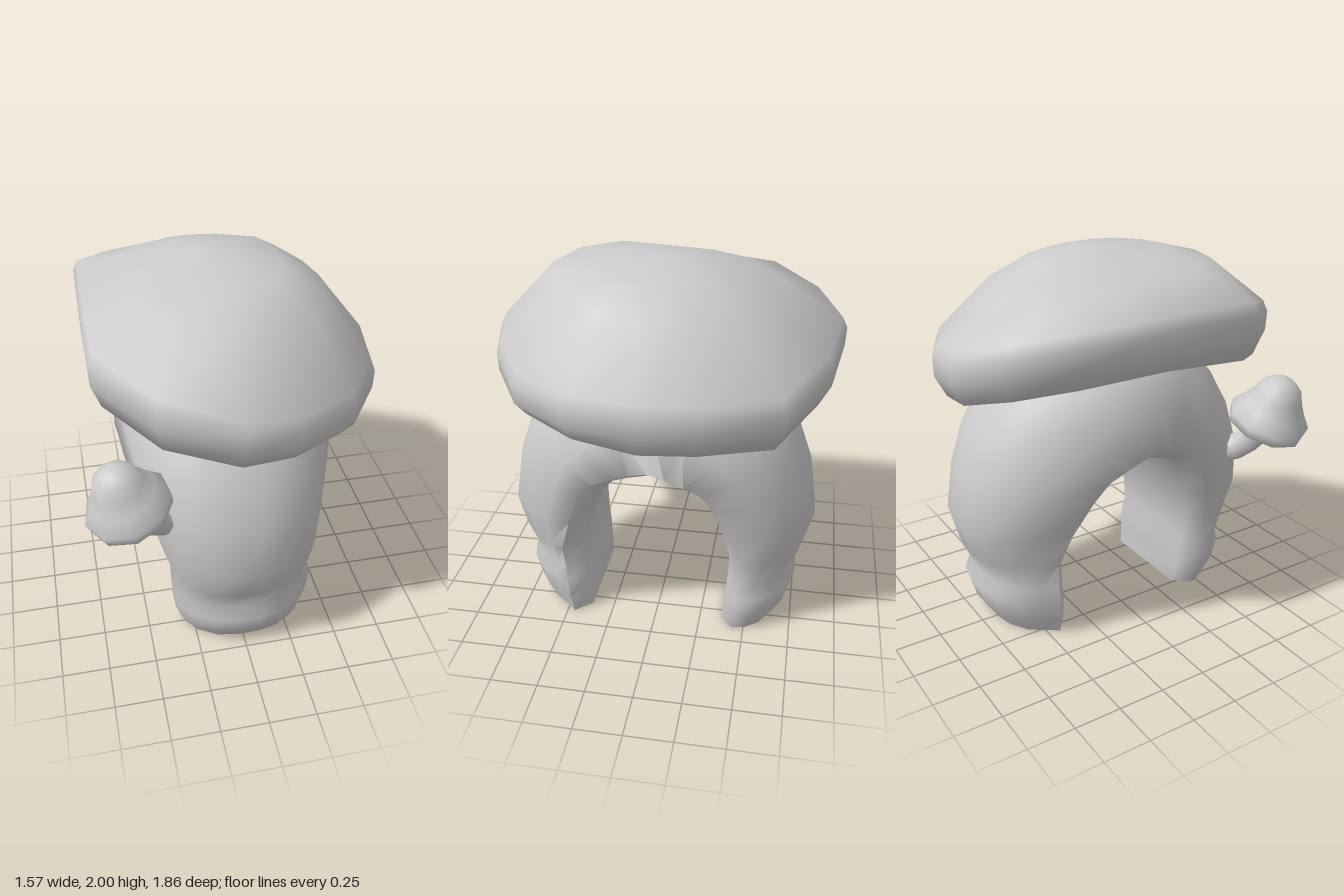
import * as THREE from 'three';
import { toCreasedNormals } from 'three/addons/utils/BufferGeometryUtils.js';

const material = new THREE.MeshStandardMaterial({ color: 0xcccccc, side: THREE.DoubleSide });

// Skin a list of closed rings (arrays of [x, y, z]), leaving both ends open.
function loft(rings) {
  const n = rings[0].length;
  const index = [];
  for (let j = 0; j < rings.length - 1; j++) {
    for (let i = 0; i < n; i++) {
      const a = j * n + i, b = j * n + (i + 1) % n;
      index.push(a, b, b + n, a, b + n, a + n);
    }
  }
  const geometry = new THREE.BufferGeometry();
  geometry.setAttribute('position', new THREE.Float32BufferAttribute(rings.flat(2), 3));
  geometry.setIndex(index);
  return toCreasedNormals(geometry, 1.4);
}

function addMesh(parent, name, geometry) {
  const mesh = new THREE.Mesh(geometry, material);
  mesh.name = name;
  parent.add(mesh);
  return mesh;
}

// Arched trunk: hollow D-shaped sections swept up one leg, over and down the other.
function archGeometry() {
  // inner z, inner y, outer z, outer y, right edge x, left edge x
  const leg = [
    [0.37, 0, 0.66, 0, -0.31, 0.39],
    [0.38, 0.1, 0.725, 0.1, -0.345, 0.41],
    [0.39, 0.22, 0.76, 0.22, -0.36, 0.42],
    [0.40, 0.31, 0.72, 0.29, -0.365, 0.40],
    [0.405, 0.45, 0.79, 0.44, -0.37, 0.43],
    [0.35, 0.65, 0.84, 0.62, -0.43, 0.47],
    [0.27, 0.83, 0.80, 0.88, -0.50, 0.51],
    [0.20, 0.915, 0.72, 1.1, -0.53, 0.54],
    [0.13, 0.94, 0.58, 1.33, -0.55, 0.56],
    [0.06, 0.96, 0.3, 1.56, -0.56, 0.57],
  ];
  const crown = [0, 0.975, 0, 1.65, -0.57, 0.57];
  const mirrored = leg.map(([iz, iy, oz, oy, l, r]) => [-iz, iy, -oz, oy, l, r]).reverse();
  const flip = (list) => list.map(([u, v]) => [-u, v]).reverse();
  // across (-1..1), depth from inner (0) to outer (1)
  const outer = [[0.17, 1], [0.47, 0.93], [0.76, 0.72], [0.91, 0.47]];
  return loft([...leg, crown, ...mirrored].map(([iz, iy, oz, oy, xl, xr]) => {
    const lipDepth = 0.078 + 0.02 * oz;
    const lip = [[1, lipDepth / Math.hypot(oz - iz, oy - iy)], [0.77, 0]];
    // the outside leans sideways: opposite ways on the legs, to the right on top
    const lean = -0.025 * oz - 0.05 * Math.max(0, 1 - Math.abs(oz) / 0.6);
    return [...lip, ...flip(lip), ...flip(outer), ...outer].map(([u, v]) => [
      (xl + xr) / 2 + u * (xr - xl) / 2 + (v > 0.4 ? lean : 0),
      iy + (oy - iy) * v,
      iz + (oz - iz) * v,
    ]);
  }));
}

// Big cap: one irregular outline scaled into rings on a tilted, bent rim.
function capGeometry() {
  const outline = [
    [-0.70, -0.02], [-0.69, -0.53], [-0.48, -0.79], [-0.22, -0.93], [0.15, -0.87],
    [0.61, -0.66], [0.74, -0.28], [0.78, 0.02], [0.72, 0.37], [0.52, 0.67],
    [0.21, 0.85], [-0.07, 0.91], [-0.44, 0.78], [-0.70, 0.48],
  ];
  const rim = (x) => 1.49 - 0.19 * x + 0.12 * x * x;
  const lower = (x, z) => rim(x) + (0.01 + 0.1 * x) * Math.max(0, z);
  // scale, height rule from the outline's x and z
  const rings = [
    [0, () => 2],
    [0.15, () => 1.993],
    [0.4, (x, z) => 1.955 + 0.02 * z],
    [0.65, (x, z) => 1.865 - 0.04 * x + 0.05 * z],
    [0.97, (x) => rim(x) + 0.1],
    [1, (x) => rim(x) + 0.04],
    [0.995, (x) => rim(x) - 0.06],
    [0.93, (x, z) => lower(x, z) - 0.17],
    [0.82, (x, z) => lower(x, z) - 0.18],
    [0.74, (x, z) => lower(x, z) - 0.08],
    [0.4, (x) => rim(x) - 0.03],
  ];
  return loft(rings.map(([s, y]) => outline.map(([x, z]) => [x * s, y(x, z), z * s])));
}

// Small side mushroom growing out of the front right of the trunk.
function sideMushroom() {
  const group = new THREE.Group();
  group.name = 'sideMushroom';
  const path = new THREE.CatmullRomCurve3([
    new THREE.Vector3(-0.33, 0.85, 0.52),
    new THREE.Vector3(-0.42, 0.88, 0.62),
    new THREE.Vector3(-0.50, 0.97, 0.69),
    new THREE.Vector3(-0.58, 1.12, 0.72),
  ]);
  addMesh(group, 'sideStem', new THREE.TubeGeometry(path, 6, 0.075, 8));

  const profile = [
    [0, 0.02], [0.07, 0.01], [0.17, -0.045], [0.21, -0.03], [0.218, 0.025],
    [0.17, 0.09], [0.13, 0.16], [0.105, 0.22], [0.05, 0.26], [0, 0.265],
  ].map(([r, y]) => new THREE.Vector2(r, y));
  const cap = addMesh(group, 'sideCap', new THREE.LatheGeometry(profile, 9));
  cap.position.set(-0.58, 1.08, 0.71);
  cap.quaternion.setFromUnitVectors(
    new THREE.Vector3(0, 1, 0), new THREE.Vector3(-0.3, 0.95, 0.1).normalize());
  return group;
}

export function createModel() {
  const model = new THREE.Group();
  model.name = 'mushroomArch';
  addMesh(model, 'archTrunk', archGeometry());
  addMesh(model, 'bigCap', capGeometry());
  model.add(sideMushroom());
  return model;
}
